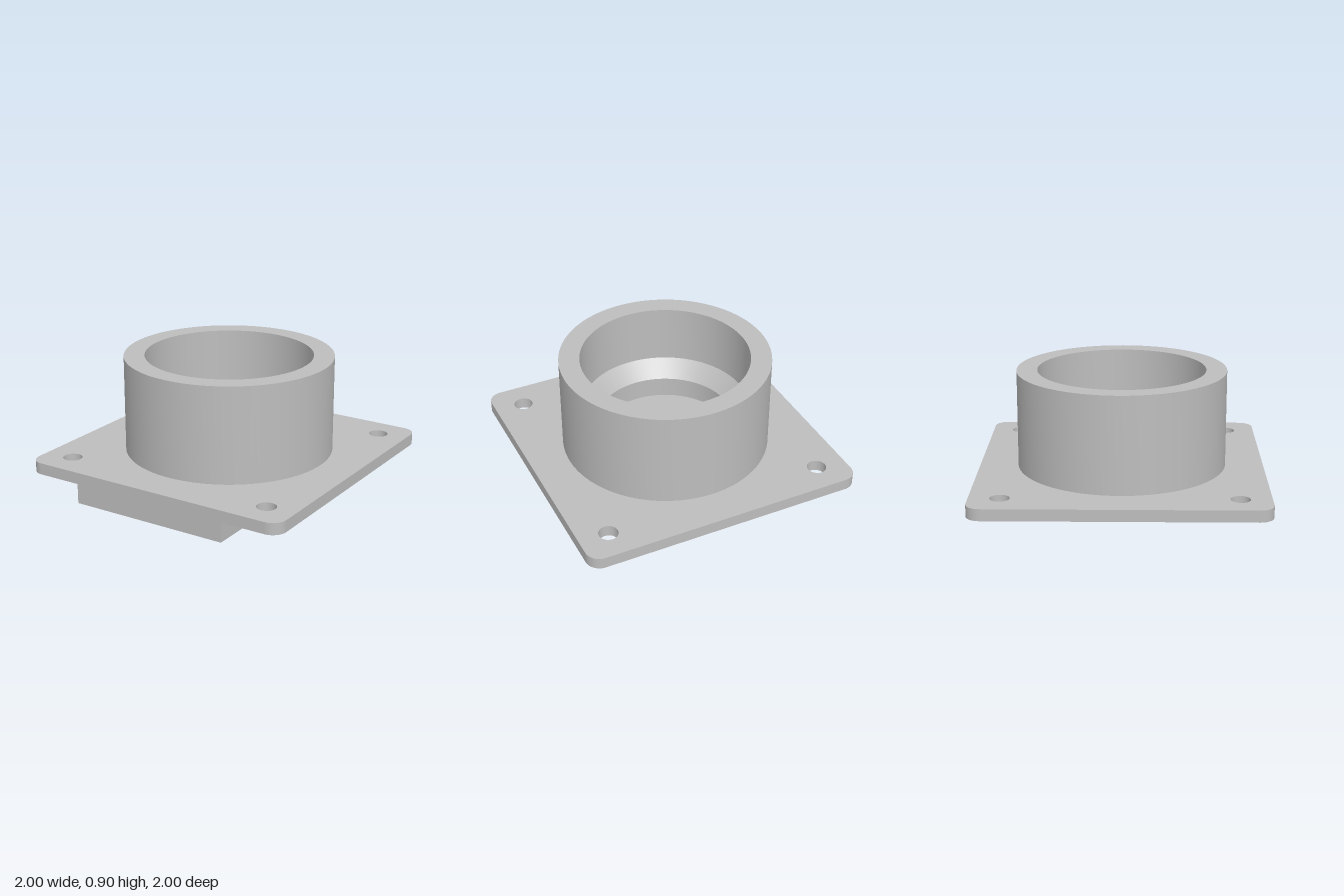
import * as THREE from 'three';
import { toCreasedNormals } from 'three/addons/utils/BufferGeometryUtils.js';

const PLATE_BOTTOM = 0.14, PLATE_TOP = 0.222, TOP = 0.905;

export function createModel() {
  const model = new THREE.Group();
  model.name = 'flangedSocket';
  const grey = new THREE.MeshStandardMaterial({ color: 0xbdbdbd });
  grey.name = 'grey';

  const add = (name, geometry) => {
    const mesh = new THREE.Mesh(geometry, grey);
    mesh.name = name;
    model.add(mesh);
    return mesh;
  };

  // Square base plate with rounded corners and four screw holes
  const r = 0.1, c = 1 - r;
  const outline = new THREE.Shape();
  outline.absarc(c, c, r, 0, Math.PI / 2);
  outline.absarc(-c, c, r, Math.PI / 2, Math.PI);
  outline.absarc(-c, -c, r, Math.PI, Math.PI * 1.5);
  outline.absarc(c, -c, r, Math.PI * 1.5, Math.PI * 2);
  outline.closePath();
  for (const x of [-0.79, 0.79]) {
    for (const y of [-0.79, 0.79]) {
      const hole = new THREE.Path();
      hole.absarc(x, y, 0.067, 0, Math.PI * 2, true);
      outline.holes.push(hole);
    }
  }
  const plate = new THREE.ExtrudeGeometry(outline, {
    depth: PLATE_TOP - PLATE_BOTTOM, bevelEnabled: false, curveSegments: 16,
  });
  plate.rotateX(-Math.PI / 2);
  plate.translate(0, PLATE_BOTTOM, 0);
  add('basePlate', toCreasedNormals(plate, 0.5));

  // Thick collar: outer wall, flat rim, straight bore, tapered seat, lower bore
  const profile = [
    [0.735, PLATE_TOP], [0.735, TOP], [0.59, TOP],
    [0.59, 0.49], [0.485, 0.37], [0.485, PLATE_TOP],
  ].map(([x, y]) => new THREE.Vector2(x, y));
  add('collar', toCreasedNormals(new THREE.LatheGeometry(profile, 96), 0.5));

  // Small rectangular pad on the socket floor
  add('floorPad', new THREE.BoxGeometry(0.34, 0.008, 0.25))
    .position.set(0, PLATE_TOP + 0.004, -0.005);

  // Locating tab under the front edge
  add('frontTab', new THREE.BoxGeometry(1.16, PLATE_BOTTOM, 0.28))
    .position.set(0, PLATE_BOTTOM / 2, 0.86);

  return model;
}
